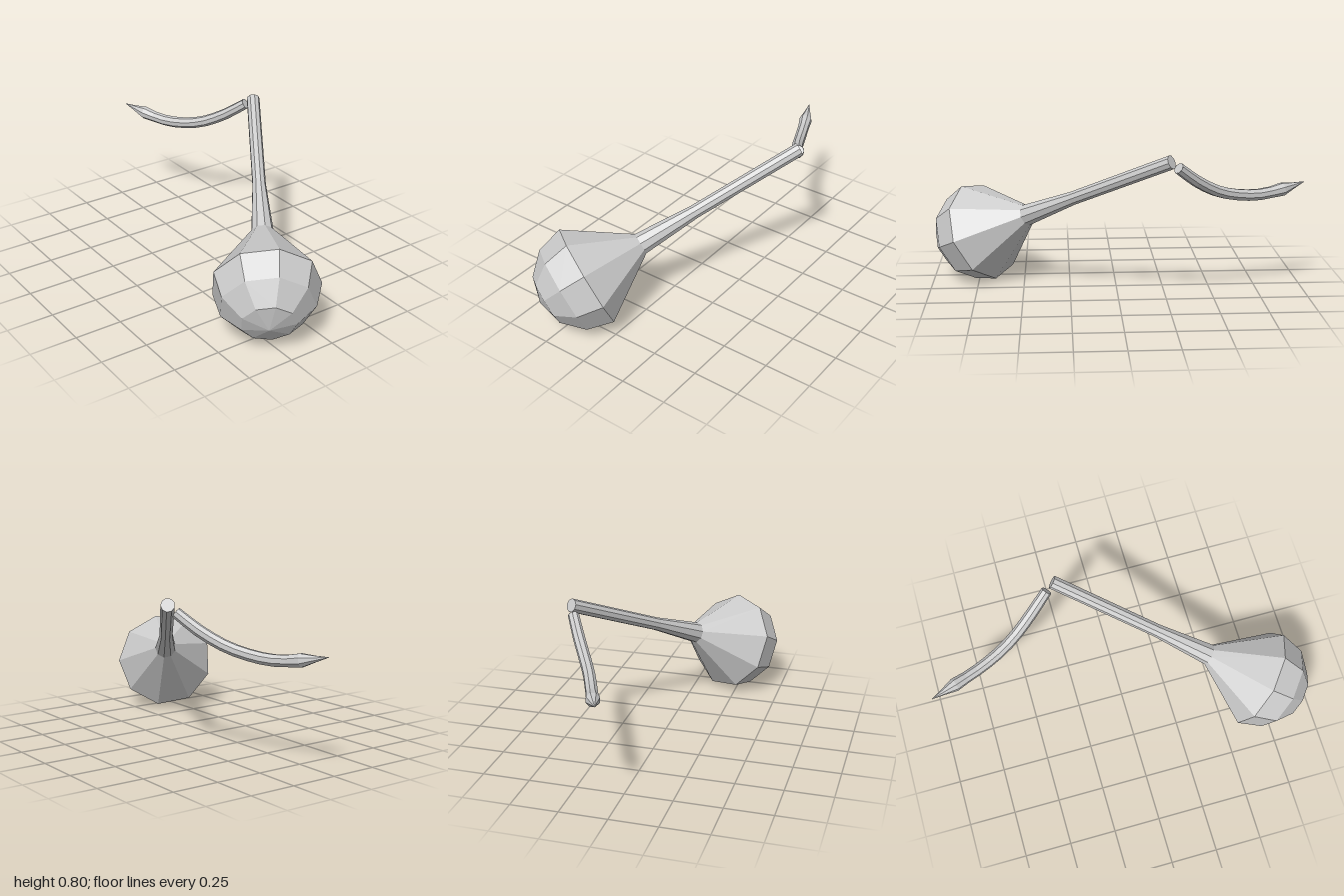
import * as THREE from 'three';

const material = new THREE.MeshStandardMaterial({ color: 0xcccccc, flatShading: true, side: THREE.DoubleSide });

function part(name, geometry) {
  const mesh = new THREE.Mesh(geometry, material);
  mesh.name = name;
  return mesh;
}

export function createModel() {
  const group = new THREE.Group();

  // Tilted axis shared by the bulb and the handle, measured from the neck
  const neck = new THREE.Vector3(-0.04, 0.405, 0.478);
  const axis = new THREE.Vector3(0.502, 0.394, -0.77).normalize();
  const corner = new THREE.Vector3(0.23, -0.006, 0.155);
  corner.addScaledVector(axis, -corner.dot(axis)).normalize();
  const side = new THREE.Vector3().crossVectors(axis, corner);
  const frame = new THREE.Matrix4().makeBasis(side, axis, corner).setPosition(neck);
  const lathe = (points) =>
    new THREE.LatheGeometry(points.map(([r, y]) => new THREE.Vector2(r, y)), 9).applyMatrix4(frame);

  // Bulb: faceted dome that narrows in a cone to the neck
  const R = 0.274, ringY = -0.315;
  const dome = [0, 1, 2, 3].map((i) => {
    const a = (i * Math.PI) / 6;
    return [R * Math.sin(a), ringY - R * Math.cos(a)];
  });
  group.add(part('bulb', lathe([...dome, [0.058, 0]])));

  // Handle: tapered lower part, straight upper part, flat end
  group.add(part('handle', lathe([[0.058, 0], [0.036, 0.32], [0.036, 0.946], [0, 0.946]])));

  // Tail: curved tube that swells slightly before its pointed tip
  const path = new THREE.CatmullRomCurve3([
    [0.41, 0.742, -0.288], [0.345, 0.66, -0.39], [0.275, 0.595, -0.5], [0.22, 0.563, -0.6],
    [0.163, 0.547, -0.73], [0.11, 0.56, -0.86], [0.05, 0.59, -1],
  ].map((p) => new THREE.Vector3(...p)));
  const radii = [0.029, 0.03, 0.031, 0.031, 0.031, 0.031, 0.031, 0.031, 0.031, 0.031, 0.036, 0.017, 0.001];
  const segments = radii.length - 1, sides = 8;
  const tail = new THREE.TubeGeometry(path, segments, 1, sides);
  const pos = tail.attributes.position;
  const v = new THREE.Vector3();
  for (let i = 0; i < pos.count; i++) {
    const ring = Math.floor(i / (sides + 1));
    const centre = path.getPointAt(ring / segments);
    v.fromBufferAttribute(pos, i).sub(centre).multiplyScalar(radii[ring]).add(centre);
    pos.setXYZ(i, v.x, v.y, v.z);
  }
  group.add(part('tail', tail));

  // Flat cap on the tail's open end
  const cap = part('tailCap', new THREE.CircleGeometry(radii[0], sides));
  const start = path.getPointAt(0);
  cap.position.copy(start);
  cap.lookAt(start.clone().sub(path.getTangentAt(0)));
  group.add(cap);

  return group;
}
